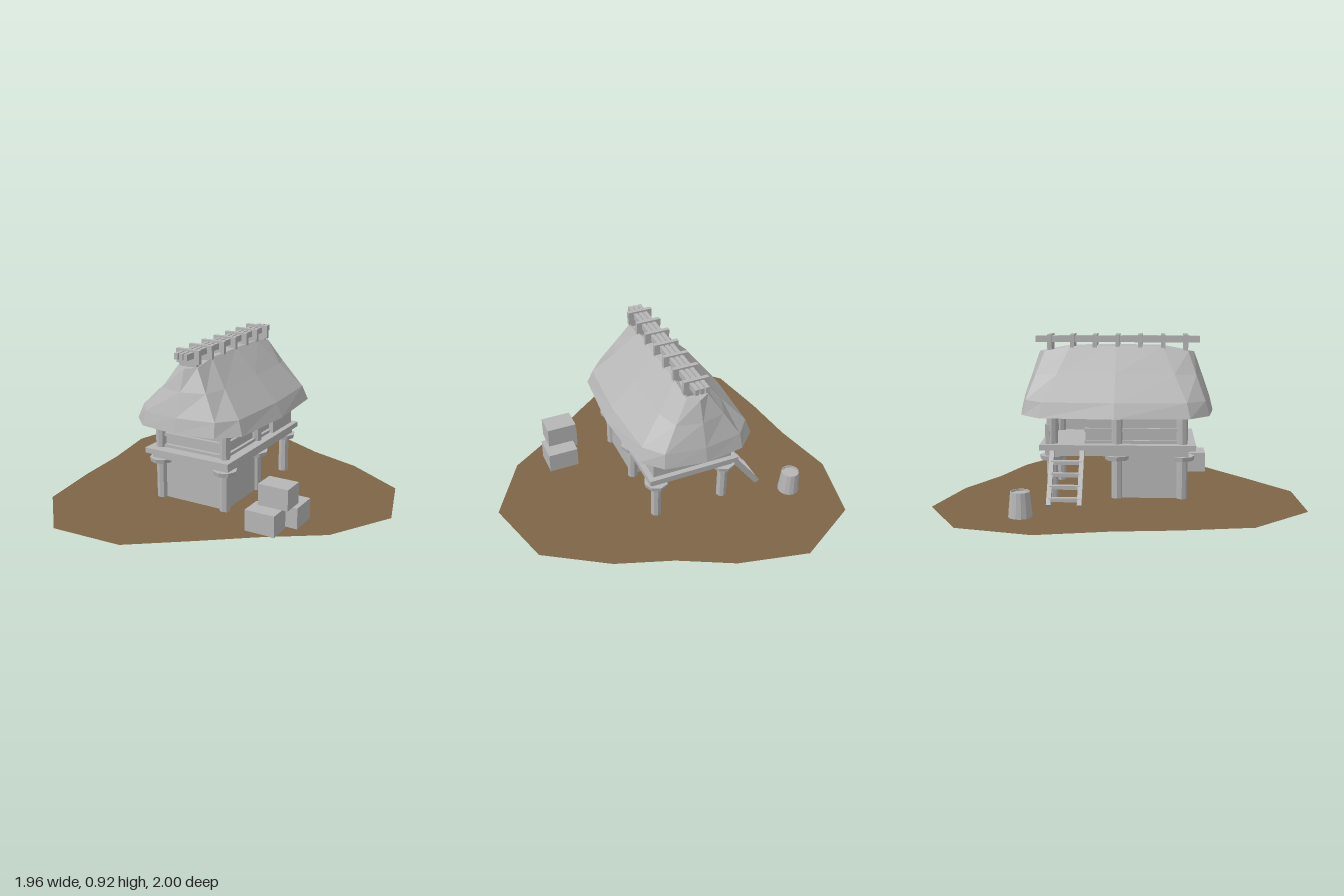
import * as THREE from 'three';

const mat = (name, color, extra = {}) => {
  const m = new THREE.MeshStandardMaterial({ color, flatShading: true, ...extra });
  m.name = name;
  return m;
};

export function createModel() {
  const root = new THREE.Group();
  root.name = 'stiltStorehouse';
  const grey = mat('paleGrey', 0xb6b6b6);
  const earth = mat('earthBrown', 0x7e6547, { side: THREE.DoubleSide });
  const dark = mat('darkThatchUnderside', 0x2d3028, { side: THREE.DoubleSide });

  const add = (name, geo, material = grey, parent = root) => {
    const m = new THREE.Mesh(geo, material);
    m.name = name;
    parent.add(m);
    return m;
  };
  // Box given by its minimum and maximum on each axis
  const box = (name, x0, x1, y0, y1, z0, z1, parent = root) => {
    const m = add(name, new THREE.BoxGeometry(x1 - x0, y1 - y0, z1 - z0), grey, parent);
    m.position.set((x0 + x1) / 2, (y0 + y1) / 2, (z0 + z1) / 2);
    return m;
  };

  // Irregular flat patch of earth
  const outline = [[-0.51, -1], [-0.11, -0.91], [0.19, -0.76], [0.51, -0.65], [0.86, -0.43], [0.98, -0.02],
    [0.77, 0.34], [0.46, 0.55], [0.2, 0.75], [-0.11, 0.98], [-0.53, 1], [-0.82, 0.69], [-0.88, 0.31],
    [-0.91, -0.02], [-0.98, -0.39], [-0.88, -0.79]];
  const patch = new THREE.Shape(outline.map(([x, z]) => new THREE.Vector2(x, -z)));
  add('ground', new THREE.ShapeGeometry(patch).rotateX(-Math.PI / 2), earth).position.y = 0.017;

  // House, centred on its own middle line
  const house = new THREE.Group();
  house.name = 'house';
  house.position.x = -0.07;
  root.add(house);
  const hbox = (name, ...b) => box(name, ...b, house);

  // Stilts with round guards
  for (const x of [-0.21, 0.21]) {
    for (const z of [0.345, -0.015, -0.375]) {
      add('stilt', new THREE.CylinderGeometry(0.031, 0.031, 0.54, 8), grey, house).position.set(x, 0.27, z);
      add('stiltGuard', new THREE.CylinderGeometry(0.07, 0.065, 0.025, 8), grey, house).position.set(x, 0.248, z);
    }
  }

  // Platform: cross beams below, deck above
  hbox('floorBeams', -0.25, 0.25, 0.26, 0.295, -0.41, 0.38);
  hbox('deck', -0.272, 0.272, 0.295, 0.325, -0.44, 0.42);

  // Enclosed store under the front half
  hbox('lowerStore', -0.215, 0.215, 0.017, 0.262, -0.01, 0.345);

  // Upper room with rails around it
  hbox('upperRoom', -0.2, 0.2, 0.32, 0.54, -0.19, 0.335);
  for (const [y0, y1] of [[0.325, 0.342], [0.39, 0.41], [0.472, 0.49]]) {
    hbox('wallRail', -0.218, 0.218, y0, y1, -0.195, 0.355);
  }

  // Low walls of the open porch at the back
  hbox('porchSideWall', 0.215, 0.24, 0.32, 0.435, -0.41, -0.165);
  hbox('porchBackWall', -0.24, 0.215, 0.32, 0.435, -0.41, -0.385);

  // Roof cross-sections: a quarter from the gable end round to the side, then mirrored
  const ring = (q) => {
    const flipZ = ([x, y, z]) => [x, y, -z];
    const half = [...q, ...q.slice(0, 3).reverse().map(flipZ)];
    const other = half.slice(1, -1).reverse().map(([x, y, z]) => [-x, y, z]);
    return [...half, ...other];
  };
  const loft = (rings) => {
    const n = rings[0].length;
    const pos = [];
    for (let r = 0; r + 1 < rings.length; r++) {
      for (let i = 0; i < n; i++) {
        const j = (i + 1) % n;
        const [a, b, c, d] = [rings[r][i], rings[r][j], rings[r + 1][j], rings[r + 1][i]];
        pos.push(...a, ...b, ...c, ...a, ...c, ...d);
      }
    }
    const top = rings[rings.length - 1];
    const peak = [0, top[3][1] + 0.005, 0];
    for (let i = 0; i < n; i++) pos.push(...peak, ...top[i], ...top[(i + 1) % n]);
    const g = new THREE.BufferGeometry();
    g.setAttribute('position', new THREE.Float32BufferAttribute(pos, 3));
    g.computeVertexNormals();
    return g;
  };
  const rings = [
    [[0, 0.485, 0.55], [0.23, 0.485, 0.517], [0.34, 0.485, 0.408], [0.372, 0.485, 0]],
    [[0, 0.567, 0.53], [0.222, 0.567, 0.495], [0.31, 0.567, 0.39], [0.333, 0.567, 0]],
    [[0, 0.7, 0.483], [0.14, 0.7, 0.447], [0.185, 0.705, 0.325], [0.198, 0.71, 0]],
    [[0, 0.82, 0.44], [0.062, 0.825, 0.405], [0.066, 0.852, 0.26], [0.067, 0.855, 0]],
  ].map(ring);
  const inner = rings.map((r) => r.map(([x, y, z]) => [x * 0.93, y - 0.02, z * 0.95]));
  inner[0] = inner[0].map(([x, , z]) => [x, 0.49, z]);
  add('thatchRoof', loft(rings), grey, house).position.z = -0.025;
  add('roofUnderside', loft([rings[0], ...inner]), dark, house).position.z = -0.025;

  // Ridge poles held by saddles
  for (const x of [-0.03, 0, 0.03]) {
    hbox('ridgePole', x - 0.011, x + 0.011, 0.873, 0.908, -0.485, 0.445);
  }
  for (let i = 0; i < 7; i++) {
    const z = -0.402 + i * 0.128;
    hbox('ridgeSaddle', -0.073, 0.073, 0.84, 0.918, z - 0.012, z + 0.012);
    hbox('saddleFoot', -0.055, 0.055, 0.82, 0.84, z - 0.012, z + 0.012);
  }

  // Ladder leaning on the porch
  const ladder = new THREE.Group();
  ladder.name = 'ladder';
  root.add(ladder);
  const foot = new THREE.Vector2(-0.52, 0.03);
  const head = new THREE.Vector2(-0.325, 0.285);
  const lean = Math.atan2(head.y - foot.y, head.x - foot.x);
  for (const z of [-0.37, -0.205]) {
    const rail = add('ladderRail', new THREE.BoxGeometry(foot.distanceTo(head), 0.032, 0.025), grey, ladder);
    rail.position.set((foot.x + head.x) / 2, (foot.y + head.y) / 2, z);
    rail.rotation.z = lean;
  }
  for (const y of [0.06, 0.117, 0.175, 0.233]) {
    const x = foot.x + (head.x - foot.x) * (y - foot.y) / (head.y - foot.y);
    box('ladderRung', x - 0.016, x + 0.016, y - 0.01, y + 0.01, -0.37, -0.205, ladder);
  }

  // Tapered tub with a sunken lid
  const tub = [[0, 0], [0.065, 0], [0.051, 0.147], [0.046, 0.147], [0.046, 0.137], [0, 0.137]]
    .map(([r, y]) => new THREE.Vector2(r, y));
  add('tub', new THREE.LatheGeometry(tub, 14)).position.set(-0.67, 0.003, -0.495);

  // Stacked crates
  box('crateBack', 0.415, 0.595, 0.015, 0.137, 0.205, 0.365);
  box('crateFront', 0.36, 0.535, 0.015, 0.137, 0.385, 0.515);
  box('crateTop', 0.39, 0.567, 0.137, 0.257, 0.295, 0.425);

  return root;
}
